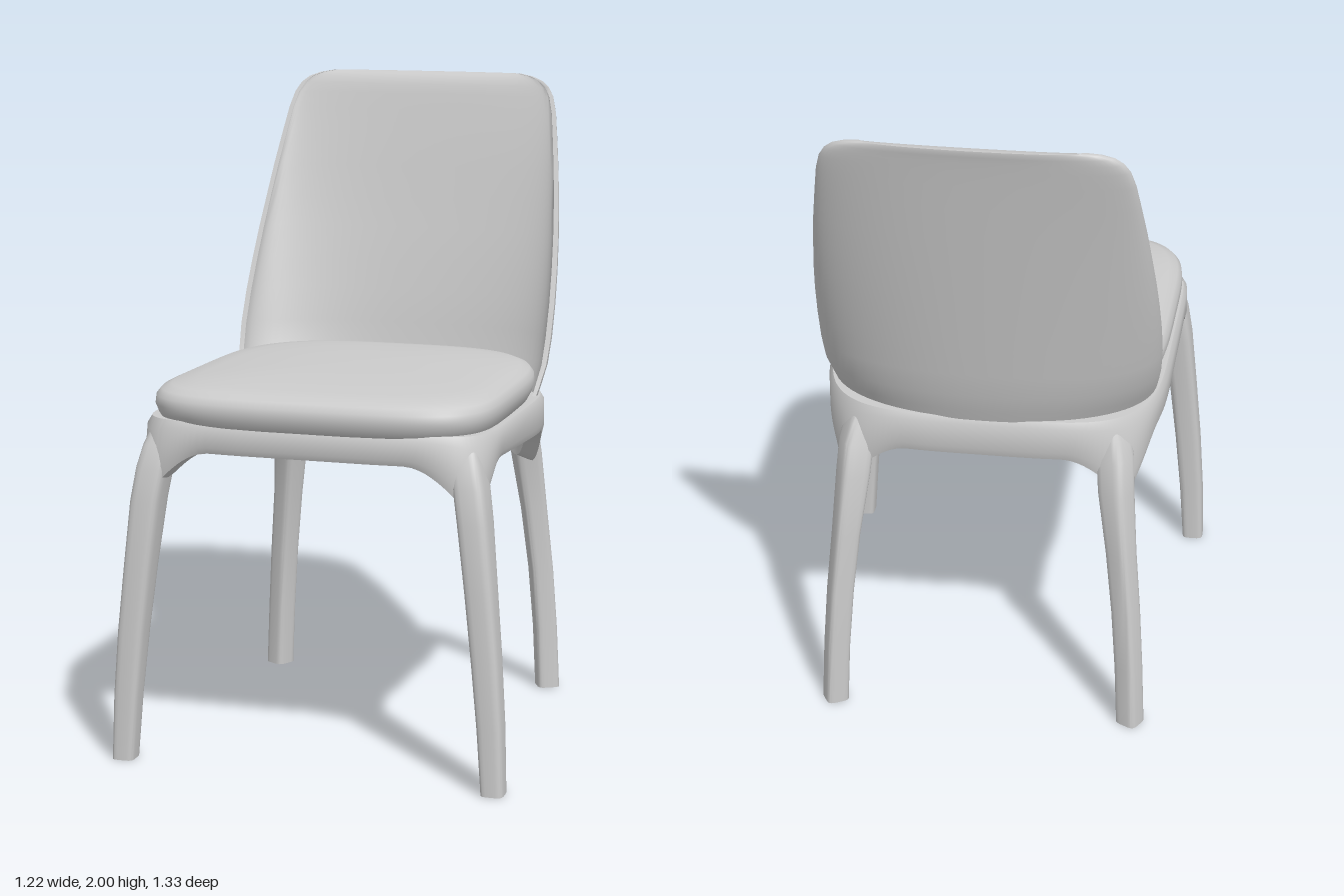
import * as THREE from 'three';
import { toCreasedNormals } from 'three/addons/utils/BufferGeometryUtils.js';

const material = new THREE.MeshStandardMaterial({ color: 0xcccccc });

// Skin a stack of equal-length point loops, listed from bottom to top.
function loft(rings, capped = true, crease = 0.8) {
  const n = rings[0].length, index = [];
  for (let j = 0; j < rings.length - 1; j++) {
    for (let i = 0; i < n; i++) {
      const a = j * n + i, b = j * n + (i + 1) % n;
      index.push(a, a + n, b, b, a + n, b + n);
    }
  }
  if (capped) {
    const top = (rings.length - 1) * n;
    for (let i = 0; i < n / 2 - 1; i++) {
      const k = n - 1 - i;
      index.push(i, i + 1, k, i + 1, k - 1, k);
      index.push(top + k, top + i + 1, top + i, top + k, top + k - 1, top + i + 1);
    }
  }
  const geometry = new THREE.BufferGeometry();
  geometry.setAttribute('position', new THREE.Float32BufferAttribute(rings.flat(2), 3));
  geometry.setIndex(index);
  return toCreasedNormals(geometry, crease);
}

function addMesh(parent, name, geometry) {
  const mesh = new THREE.Mesh(geometry, material);
  mesh.name = name;
  parent.add(mesh);
  return mesh;
}

const power = (v, e) => Math.sign(v) * Math.abs(v) ** e;

// Rounded seat plan: square with a bowed edge in front, rounder and narrower behind.
function plan(halfX, halfZ, centreZ, frontPower, backPower, count = 160) {
  return Array.from({ length: count }, (_, i) => {
    const a = (i + 0.5) / count * Math.PI * 2;
    const e = 2 / (Math.sin(a) > 0 ? frontPower : backPower);
    const c = power(Math.cos(a), e), s = power(Math.sin(a), e);
    const bow = s > 0 ? 1 - 0.05 * c * c : 1;
    return [halfX * (1 + 0.025 * s) * c, centreZ + halfZ * s * bow];
  });
}

// Domed seat pad as scaled copies of the plan: [scale, y]
function cushion() {
  const profile = [[0.9, 1.02], [0.965, 1.04], [0.985, 1.06], [1, 1.085], [0.995, 1.11], [0.97, 1.128],
    [0.92, 1.14], [0.8, 1.149], [0.55, 1.159], [0.25, 1.164], [0.02, 1.165]];
  const outline = plan(0.52, 0.545, 0.123, 5.5, 3.2);
  return loft(profile.map(([s, y]) => outline.map(([x, z]) => [x * s, y, 0.12 + (z - 0.12) * s])));
}

// Hollow apron whose lower edge sweeps down and outwards into each leg
function seatFrame() {
  const corners = [[0.48, 0.572], [0.405, -0.365]];
  const drop = (x, z) => {
    const d = Math.min(...corners.map(([cx, cz]) => Math.hypot(Math.abs(x) - cx, z - cz)));
    return 0.17 * Math.max(1 - d / 0.19, 0) ** 2;
  };
  const base = (z) => THREE.MathUtils.mapLinear(THREE.MathUtils.clamp(z, -0.45, 0.45), -0.45, 0.45, 0.9, 0.96);
  const upper = (z) => 1.036 + 0.022 * z;
  const outer = plan(0.53, 0.55, 0.1, 8, 4.2);
  const inner = plan(0.475, 0.495, 0.1, 8, 4.2);
  const ring = (outline, scale, t) => outline.map(([x, z]) => {
    const d = drop(x, z), grow = scale + d * 0.25 * (1 - t);
    return [x * grow, THREE.MathUtils.lerp(base(z) - d, upper(z), t), 0.1 + (z - 0.1) * grow];
  });
  return loft([ring(outer, 0.985, 0), ring(outer, 1, 0.2), ring(outer, 1, 0.85), ring(outer, 0.98, 1),
    ring(inner, 1, 1), ring(inner, 1, 0), ring(outer, 0.985, 0)], false);
}

// Curved shell with raked wings: [y, half width, wing edge z, back z, thickness]
function backrest() {
  const rows = [
    [1.02, 0.495, -0.15, -0.445, 0.04], [1.06, 0.503, -0.18, -0.46, 0.045],
    [1.12, 0.512, -0.23, -0.48, 0.05], [1.2, 0.517, -0.265, -0.497, 0.055],
    [1.3, 0.516, -0.312, -0.518, 0.055], [1.4, 0.511, -0.36, -0.539, 0.055],
    [1.5, 0.503, -0.407, -0.56, 0.053], [1.6, 0.492, -0.452, -0.581, 0.05],
    [1.7, 0.48, -0.495, -0.602, 0.05], [1.8, 0.465, -0.537, -0.623, 0.048],
    [1.88, 0.452, -0.57, -0.64, 0.046], [1.93, 0.438, -0.59, -0.651, 0.045],
    [1.96, 0.42, -0.603, -0.658, 0.044], [1.98, 0.395, -0.612, -0.663, 0.04],
    [1.993, 0.36, -0.622, -0.667, 0.034], [2, 0.32, -0.632, -0.667, 0.022]];
  const steps = 36;
  const arc = (y, w, edge, back) => Array.from({ length: steps + 1 }, (_, i) => {
    const a = (i / steps - 0.5) * Math.PI;
    return [w * power(Math.sin(a), 0.9), y, edge + (back - edge) * Math.max(Math.cos(a), 0) ** 0.9];
  });
  return loft(rows.map(([y, w, edge, back, t]) => [
    ...arc(y, w, edge, back),
    ...arc(y, w - t * 0.3, edge, Math.min(back + t, edge)).reverse()]), true, 0.9);
}

// Tapered, splayed leg: [y, centre x, centre z, half width, half depth], turned about its axis
function leg(rows, turn) {
  const cos = Math.cos(turn), sin = Math.sin(turn);
  return loft(rows.map(([y, cx, cz, hx, hz]) => Array.from({ length: 20 }, (_, i) => {
    const a = (i + 0.5) / 20 * Math.PI * 2;
    const u = hx * power(Math.cos(a), 0.45), v = hz * power(Math.sin(a), 0.45);
    return [cx + u * cos - v * sin, y, cz + u * sin + v * cos];
  })));
}

export function createModel() {
  const chair = new THREE.Group();
  chair.name = 'chair';
  addMesh(chair, 'seatCushion', cushion());
  addMesh(chair, 'seatFrame', seatFrame());
  addMesh(chair, 'backrest', backrest());

  const front = [[0, 0.577, 0.628, 0.034, 0.037], [0.2, 0.566, 0.622, 0.038, 0.041],
    [0.4, 0.549, 0.614, 0.041, 0.046], [0.6, 0.528, 0.602, 0.043, 0.052],
    [0.8, 0.505, 0.587, 0.046, 0.06], [0.9, 0.489, 0.573, 0.047, 0.06],
    [0.97, 0.473, 0.56, 0.045, 0.054], [1.03, 0.455, 0.54, 0.04, 0.042]];
  const back = [[0, 0.467, -0.487, 0.036, 0.036], [0.2, 0.458, -0.483, 0.036, 0.036],
    [0.4, 0.444, -0.472, 0.037, 0.037], [0.6, 0.424, -0.454, 0.039, 0.039],
    [0.8, 0.402, -0.425, 0.046, 0.046], [0.9, 0.394, -0.394, 0.047, 0.047],
    [0.96, 0.384, -0.367, 0.043, 0.043], [1.02, 0.372, -0.345, 0.036, 0.036]];
  for (const [side, label] of [[1, 'Left'], [-1, 'Right']]) {
    // Mirrored rows keep the loop direction, so faces stay outward
    const mirror = (rows) => rows.map(([y, x, ...rest]) => [y, x * side, ...rest]);
    addMesh(chair, `front${label}Leg`, leg(mirror(front), 0));
    addMesh(chair, `back${label}Leg`, leg(mirror(back), -0.5 * side));

    // Thin brace from the front corner towards the middle of the seat
    const brace = addMesh(chair, `underseat${label}Brace`, new THREE.BoxGeometry(0.04, 0.03, 0.64));
    brace.position.set(side * 0.215, 0.94, 0.29);
    brace.rotation.y = side * Math.atan2(0.43, 0.47);
  }
  return chair;
}
